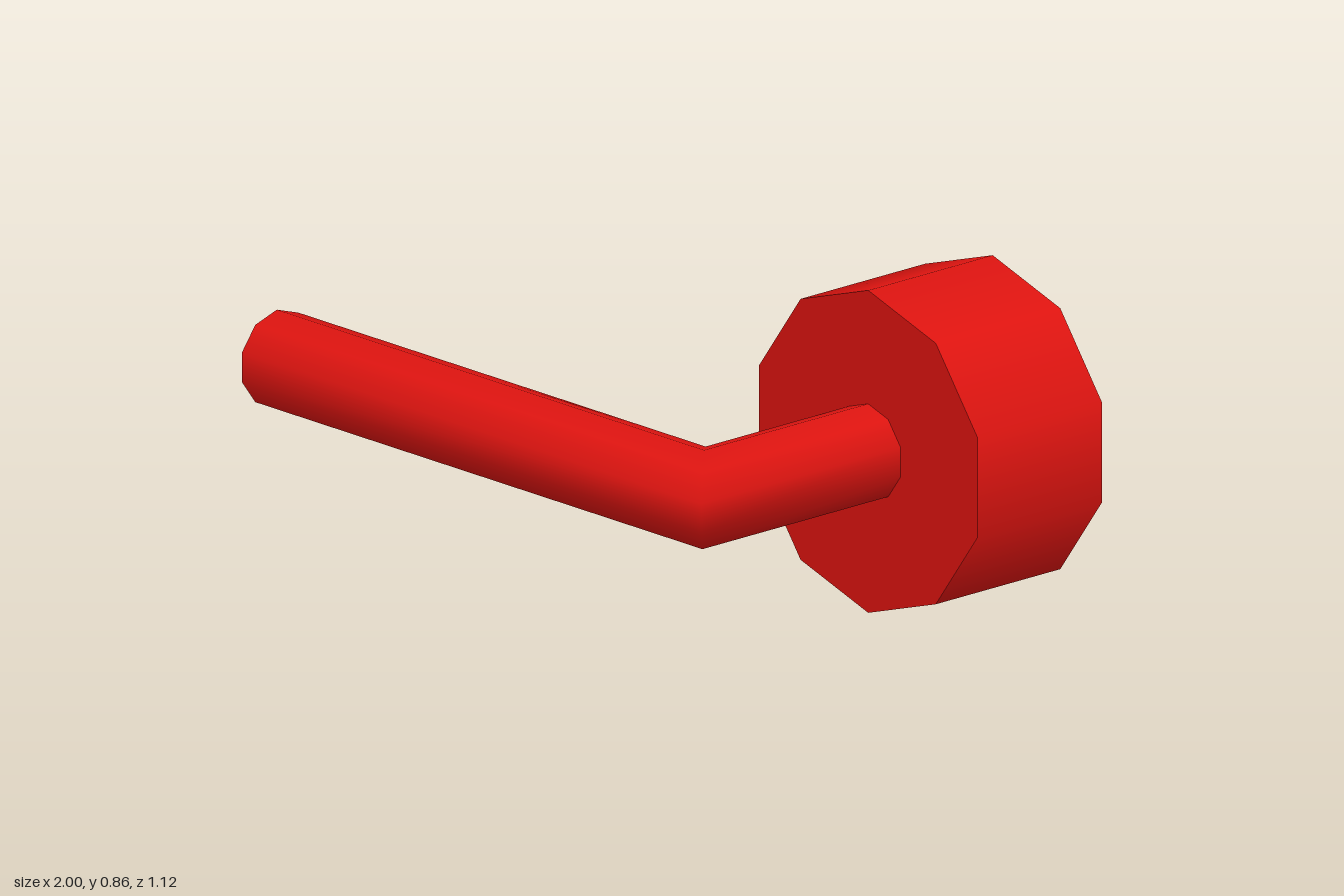
import * as THREE from 'three';

const SIDES = 10;
const CX = 0.593, CY = 0.429; // axis of the cup
const CUP_R = 0.429, CUP_FRONT = -0.13, CUP_BACK = -0.56;
const PIPE_R = 0.127, PIPE_Z = 0.437;

// Pipe swept through three rings: free end, mitred elbow, cup floor
function pipeGeometry() {
  const rings = [
    (s) => [-1, PIPE_Z + s],
    (s) => [CX + s, PIPE_Z + s],
    (s) => [CX + s, CUP_FRONT],
  ];
  const positions = [], index = [];
  for (const ring of rings) {
    for (let i = 0; i < SIDES; i++) {
      const a = (i / SIDES) * Math.PI * 2;
      const [x, z] = ring(PIPE_R * Math.sin(a));
      positions.push(x, CY + PIPE_R * Math.cos(a), z);
    }
  }
  for (let r = 0; r < rings.length - 1; r++) {
    for (let i = 0; i < SIDES; i++) {
      const a = r * SIDES + i, b = r * SIDES + ((i + 1) % SIDES);
      index.push(a, b, a + SIDES, b, b + SIDES, a + SIDES);
    }
  }
  const g = new THREE.BufferGeometry();
  g.setAttribute('position', new THREE.Float32BufferAttribute(positions, 3));
  g.setIndex(index);
  g.computeVertexNormals();
  return g;
}

export function createModel() {
  const model = new THREE.Group();
  model.name = 'pipeWithCup';
  const red = new THREE.MeshStandardMaterial({ color: 0xdd1410, side: THREE.DoubleSide });

  const add = (name, geometry) => {
    const mesh = new THREE.Mesh(geometry, red);
    mesh.name = name;
    model.add(mesh);
    return mesh;
  };

  // Bent stem and its closed free end
  add('stem', pipeGeometry());
  const cap = new THREE.CircleGeometry(PIPE_R, SIDES, Math.PI / 2);
  cap.rotateY(-Math.PI / 2);
  add('stemEndCap', cap).position.set(-1, CY, PIPE_Z);

  // Thin cup, closed at the front and open at the back
  const wall = new THREE.CylinderGeometry(CUP_R, CUP_R, CUP_FRONT - CUP_BACK, SIDES, 1, true);
  wall.rotateX(Math.PI / 2);
  add('cupWall', wall).position.set(CX, CY, (CUP_FRONT + CUP_BACK) / 2);
  add('cupFloor', new THREE.CircleGeometry(CUP_R, SIDES, Math.PI / 2)).position.set(CX, CY, CUP_FRONT);

  return model;
}
